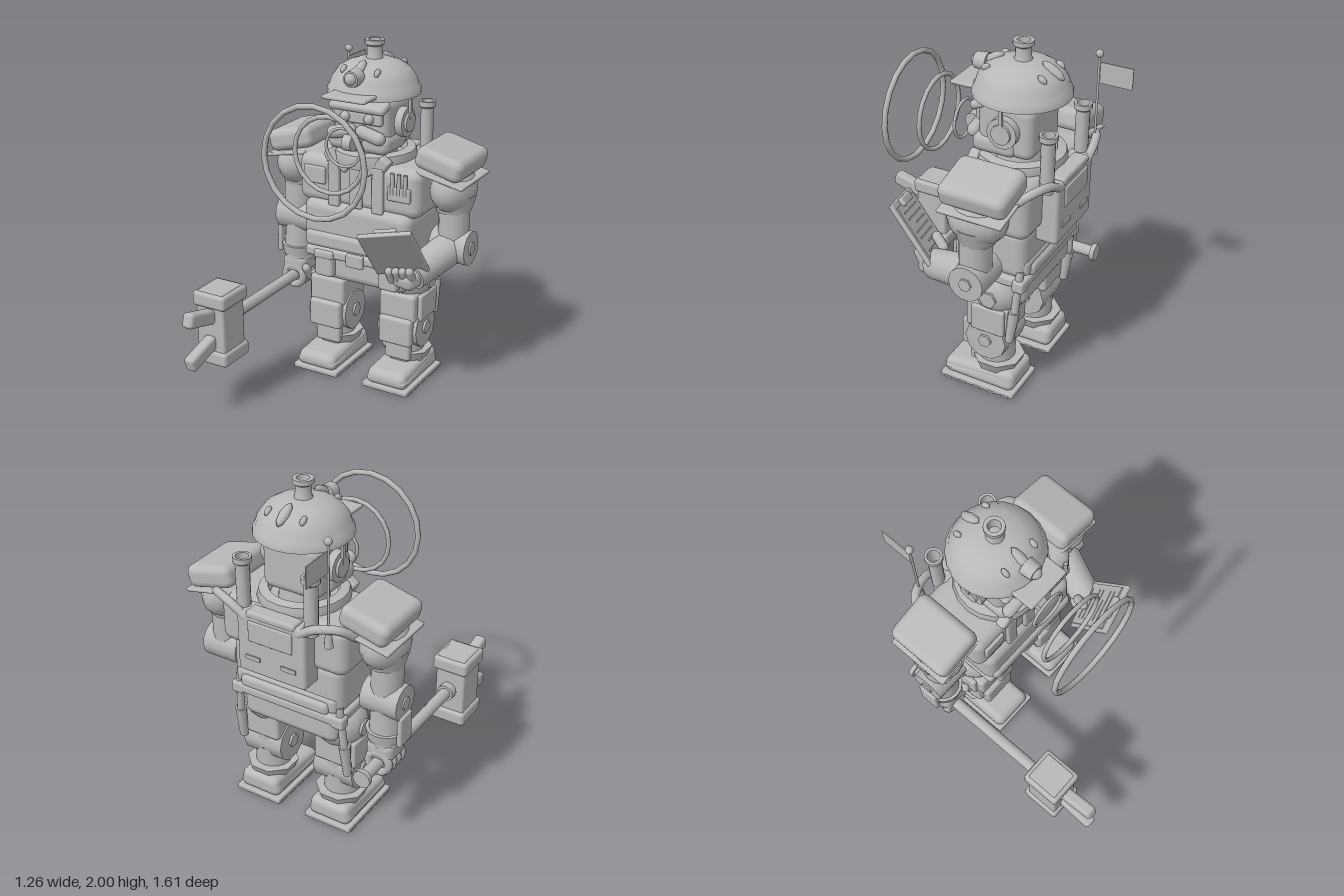
import * as THREE from 'three';
import { RoundedBoxGeometry } from 'three/addons/geometries/RoundedBoxGeometry.js';
import { toCreasedNormals } from 'three/addons/utils/BufferGeometryUtils.js';

const V = (x, y, z) => new THREE.Vector3(x, y, z);

export function createModel() {
  const root = new THREE.Group();
  root.name = 'workerRobot';
  const grey = new THREE.MeshStandardMaterial({ color: 0xb8b8b8 });
  grey.name = 'plain grey';
  grey.side = THREE.DoubleSide;

  const add = (name, geo, pos, rot = [0, 0, 0], parent = root) => {
    const m = new THREE.Mesh(geo, grey);
    m.name = name;
    m.position.set(...pos);
    m.rotation.set(...rot);
    parent.add(m);
    return m;
  };
  const rbox = (w, h, d, r = 0.02) => new RoundedBoxGeometry(w, h, d, 3, r);
  const box = (w, h, d) => new THREE.BoxGeometry(w, h, d);
  const cyl = (rt, rb, h, n = 16) => new THREE.CylinderGeometry(rt, rb, h, n);
  const ball = (r, n = 16) => new THREE.SphereGeometry(r, n, Math.ceil(n * 0.7));
  const lathe = (pts, n = 20) => toCreasedNormals(
    new THREE.LatheGeometry(pts.map(p => new THREE.Vector2(...p)), n), 0.7);
  // Cylinder between two points
  const rod = (name, a, b, ra, rb = ra, n = 12) => {
    const m = add(name, cyl(rb, ra, a.distanceTo(b), n), a.clone().add(b).multiplyScalar(0.5).toArray());
    m.quaternion.setFromUnitVectors(V(0, 1, 0), b.clone().sub(a).normalize());
    return m;
  };
  const tube = (name, pts, r) => add(name,
    new THREE.TubeGeometry(new THREE.CatmullRomCurve3(pts.map(p => V(...p))), 16, r, 10), [0, 0, 0]);
  const HALF = Math.PI / 2;

  // Torso
  add('belly', rbox(0.69, 0.3, 0.43, 0.06), [0, 0.935, -0.315]);
  add('chest', rbox(0.78, 0.29, 0.43, 0.06), [0, 1.2, -0.345]);
  add('bellyBand', rbox(0.64, 0.1, 0.46, 0.03), [0, 0.85, -0.31]);
  add('pelvis', rbox(0.6, 0.2, 0.36, 0.05), [0, 0.68, -0.33]);
  add('belt', rbox(0.68, 0.06, 0.42, 0.02), [0, 0.755, -0.325]);
  add('beltBuckle', rbox(0.11, 0.08, 0.03, 0.01), [0, 0.75, -0.11]);
  add('backBumper', rbox(0.56, 0.08, 0.08, 0.03), [0, 0.83, -0.52]);
  add('collar', lathe([[0.24, -0.04], [0.25, 0], [0.24, 0.04], [0.19, 0.05], [0.18, 0.0]]), [0, 1.35, -0.33]);
  add('neck', cyl(0.12, 0.14, 0.14), [0, 1.4, -0.33]);
  add('chestStrap', rbox(0.08, 0.25, 0.03, 0.01), [0, 1.2, -0.12]);
  add('namePlate', rbox(0.14, 0.1, 0.025, 0.008), [-0.27, 1.23, -0.125]);
  add('penPocket', rbox(0.14, 0.08, 0.025, 0.008), [0.27, 1.2, -0.125]);
  for (let i = 0; i < 3; i++)
    add('pen', cyl(0.012, 0.012, 0.12, 8), [0.23 + i * 0.04, 1.26, -0.12]);
  for (const s of [-1, 1]) {
    add('suspender', rbox(0.07, 0.27, 0.03, 0.01), [s * 0.14, 1.2, -0.12]);
    add('pouch', rbox(0.12, 0.16, 0.08, 0.02), [s * 0.21, 0.69, -0.145]);
    add('pouchFlap', rbox(0.13, 0.05, 0.09, 0.015), [s * 0.21, 0.75, -0.145]);
  }

  // Beard bars below the jaw
  for (let i = -2; i <= 2; i++) {
    const a = i * 0.5;
    add('beardBar', rbox(0.09, 0.07, 0.06, 0.015), [Math.sin(a) * 0.19, 1.4 - Math.cos(a) * 0.09, -0.14], [0, 0, a]);
  }

  // Head
  add('head', rbox(0.35, 0.3, 0.32, 0.05), [0, 1.55, -0.31]);
  add('jaw', rbox(0.38, 0.11, 0.26, 0.045), [0, 1.455, -0.25]);
  add('brow', rbox(0.35, 0.045, 0.1, 0.02), [0, 1.665, -0.155], [0.35, 0, 0]);
  add('visor', rbox(0.3, 0.07, 0.04, 0.015), [0, 1.6, -0.15]);
  for (const s of [-1, 1]) {
    add('eye', ball(0.03, 12), [s * 0.075, 1.6, -0.13]);
    add('moustache', new THREE.CapsuleGeometry(0.037, 0.11, 5, 12), [s * 0.09, 1.515, -0.12], [0, 0, s * (HALF - 0.25)]);
    add('earDisc', cyl(0.085, 0.085, 0.05), [s * 0.195, 1.56, -0.32], [0, 0, HALF]);
    add('earCap', cyl(0.055, 0.055, 0.02), [s * 0.225, 1.56, -0.32], [0, 0, HALF]);
    add('chinStrap', box(0.015, 0.16, 0.02), [s * 0.23, 1.66, -0.32]);
  }

  // Whistle with sound rings
  add('whistleTube', rbox(0.05, 0.035, 0.1, 0.01), [0, 1.5, -0.07]);
  add('whistleBody', cyl(0.045, 0.045, 0.055), [0, 1.48, -0.045], [0, 0, HALF]);
  add('whistleMouthpiece', cyl(0.03, 0.045, 0.06), [0, 1.48, -0.11], [HALF, 0, 0]);
  for (const [r, z, t] of [[0.108, 0.02, 0.009], [0.212, 0.175, 0.013], [0.307, 0.33, 0.016]])
    add('soundRing', new THREE.TorusGeometry(r, t, 8, 20), [0, 1.47, z]);

  // Hard hat
  const hat = new THREE.Group();
  hat.name = 'hardHat';
  hat.position.set(0, 1.71, -0.325);
  root.add(hat);
  add('hatShell', lathe([[0.23, 0.01], [0.265, 0], [0.262, 0.03], [0.25, 0.045], [0.238, 0.085], [0.2, 0.135],
    [0.15, 0.165], [0.09, 0.185], [0, 0.19]], 24), [0, 0, 0], [0, 0, 0], hat);
  add('hatLining', cyl(0.24, 0.24, 0.01, 24), [0, 0.015, 0], [0, 0, 0], hat);
  add('hatBrim', rbox(0.27, 0.022, 0.2, 0.01), [0, 0.027, 0.255], [0, 0, 0], hat);
  add('hatChimney', lathe([[0.06, 0.16], [0.044, 0.2], [0.042, 0.255], [0.056, 0.265], [0.056, 0.29], [0.035, 0.29],
    [0.03, 0.22]], 16), [0, 0, 0], [0, 0, 0], hat);
  add('headLamp', cyl(0.045, 0.052, 0.07), [0, 0.12, 0.235], [HALF, 0, 0], hat);
  add('lampLens', ball(0.036, 12), [0, 0.12, 0.262], [0, 0, 0], hat);
  for (const s of [-1, 1]) {
    add('hatRidge', ball(1, 8), [0, 0.155, s * 0.17], [s * 0.55, 0, 0], hat).scale.set(0.028, 0.025, 0.075);
    for (const x of [-0.105, 0.105])
      add('hatVent', ball(1, 8), [x, 0.145, s * 0.16], [s * 0.6, 0, 0], hat).scale.set(0.016, 0.018, 0.03);
  }

  // Backpack, exhausts, hoses and flag mast
  add('backpack', rbox(0.42, 0.36, 0.13, 0.02), [0, 1.16, -0.585]);
  add('packPanel', rbox(0.27, 0.12, 0.02, 0.008), [0, 1.24, -0.65]);
  add('packLid', rbox(0.3, 0.04, 0.09, 0.015), [0, 1.335, -0.61]);
  for (const s of [-1, 1]) {
    add('packSlot', box(0.09, 0.025, 0.016), [s * 0.11, 1.08, -0.65]);
    add('exhaust', lathe([[0.038, 0], [0.038, 0.29], [0.05, 0.3], [0.05, 0.33], [0.035, 0.33], [0.03, 0.2]], 14),
      [s * 0.207, 1.29, -0.58]);
    tube('hose', [[s * 0.16, 1.3, -0.63], [s * 0.26, 1.36, -0.63], [s * 0.37, 1.37, -0.59], [s * 0.43, 1.3, -0.5]], 0.024);
  }
  rod('flagMast', V(-0.325, 1.3, -0.605), V(-0.325, 1.85, -0.605), 0.007, 0.007, 8);
  add('mastBall', ball(0.022, 12), [-0.325, 1.857, -0.605]);
  add('mastBase', cyl(0.018, 0.025, 0.08, 10), [-0.325, 1.31, -0.605]);
  add('flag', box(0.006, 0.12, 0.185), [-0.325, 1.75, -0.707]);

  // Parts shared by both sides: shoulders, upper arms, legs
  for (const s of [-1, 1]) {
    const x = s * 0.51;
    add('shoulderPad', rbox(0.29, 0.13, 0.385, 0.045), [s * 0.475, 1.39, -0.353], [0, 0, -s * 0.25]);
    add('shoulderRim', rbox(0.3, 0.02, 0.37, 0.008), [s * 0.48, 1.305, -0.353], [0, 0, -s * 0.2]);
    add('shoulderBall', ball(1, 16), [s * 0.5, 1.22, -0.34]).scale.set(0.125, 0.14, 0.17);
    add('shoulderSkirt', cyl(0.13, 0.1, 0.1, 10), [s * 0.5, 1.14, -0.34]);
    add('upperArm', cyl(0.088, 0.088, 0.24), [x, 1.03, -0.335]);
    add('elbow', cyl(0.1, 0.1, 0.22, 14), [x, 0.88, -0.335], [0, 0, HALF]);
    add('elbowBolt', cyl(0.038, 0.038, 0.24, 6), [x, 0.88, -0.335], [0, 0, HALF]);

    const lx = s * 0.235;
    add('hipBall', ball(0.15, 16), [lx, 0.635, -0.34]);
    add('hipBolt', cyl(0.05, 0.05, 0.06, 6), [s * 0.36, 0.635, -0.34], [0, 0, HALF]);
    add('thigh', cyl(0.105, 0.105, 0.3), [lx, 0.46, -0.33]);
    add('thighPlate', rbox(0.23, 0.17, 0.26, 0.02), [lx, 0.485, -0.315]);
    add('thighSidePlate', rbox(0.03, 0.16, 0.2, 0.01), [s * 0.36, 0.485, -0.33]);
    add('knee', cyl(0.125, 0.125, 0.25, 10), [lx, 0.34, -0.315], [0, 0, HALF]);
    add('kneeBolt', cyl(0.04, 0.04, 0.28, 6), [lx, 0.34, -0.315], [0, 0, HALF]);
    add('kneePad', rbox(0.21, 0.17, 0.06, 0.02), [lx, 0.34, -0.185]);
    add('shin', cyl(0.105, 0.105, 0.2), [lx, 0.2, -0.325]);
    add('shinPlate', rbox(0.16, 0.11, 0.05, 0.015), [lx, 0.2, -0.22]);
    add('ankleCuff', cyl(0.15, 0.125, 0.06, 8), [lx, 0.155, -0.335], [0, Math.PI / 8, 0]);

    // Boot with a stepped toe and studded sole
    add('sole', rbox(0.295, 0.03, 0.46, 0.008), [lx, 0.017, -0.27]);
    for (let i = 0; i < 5; i++)
      add('soleLug', box(0.3, 0.012, 0.05), [lx, 0.007, -0.09 - i * 0.09]);
    const boot = rbox(0.265, 0.12, 0.44, 0.04), p = boot.attributes.position;
    for (let i = 0; i < p.count; i++) // lower the toe and narrow the top
      if (p.getY(i) > 0) {
        p.setY(i, p.getY(i) - Math.max(0, p.getZ(i) - 0.07) * 0.22);
        p.setX(i, p.getX(i) * 0.94);
      }
    boot.computeVertexNormals();
    add('boot', boot, [lx, 0.085, -0.268]);

    // Tool hanging behind the hip
    rod('hangingTool', V(s * 0.32, 0.84, -0.5), V(s * 0.34, 0.56, -0.48), 0.022);
    rod('toolHandle', V(s * 0.34, 0.58, -0.48), V(s * 0.345, 0.38, -0.455), 0.032, 0.024);
    add('toolLoop', rbox(0.08, 0.07, 0.07, 0.015), [s * 0.32, 0.75, -0.5]);
  }

  // Right arm hanging down, gripping the hammer
  add('rightForearm', cyl(0.085, 0.095, 0.25), [-0.51, 0.73, -0.335]);
  add('rightCuff', cyl(0.11, 0.1, 0.06), [-0.51, 0.66, -0.335]);
  add('forearmPlate', rbox(0.03, 0.18, 0.12, 0.01), [-0.62, 0.72, -0.335]);
  add('rightPalm', rbox(0.16, 0.12, 0.18, 0.04), [-0.51, 0.57, -0.335]);
  for (let i = 0; i < 4; i++)
    add('rightFinger', new THREE.TorusGeometry(0.062, 0.024, 8, 12), [-0.51, 0.5, -0.265 - i * 0.047]);
  add('rightThumb', new THREE.CapsuleGeometry(0.026, 0.08, 4, 10), [-0.42, 0.53, -0.28], [0.6, 0, 0]);

  rod('hammerShaft', V(-0.51, 0.5, -0.585), V(-0.51, 0.5, 0.4), 0.034);
  rod('hammerPommel', V(-0.51, 0.5, -0.587), V(-0.51, 0.5, -0.56), 0.052);
  rod('hammerCollar', V(-0.51, 0.5, 0.35), V(-0.51, 0.5, 0.4), 0.05);
  add('hammerBody', rbox(0.185, 0.34, 0.2, 0.015), [-0.515, 0.495, 0.497]);
  for (const s of [-1, 1]) {
    add('hammerFace', rbox(0.215, 0.085, 0.235, 0.02), [-0.515, 0.495 + s * 0.172, 0.495]);
    add('hammerFaceInset', rbox(0.17, 0.02, 0.19, 0.008), [-0.515, 0.495 + s * 0.21, 0.495]);
    add('hammerProng', rbox(0.07, 0.085, 0.23, 0.02), [-0.515, 0.495 + s * 0.105, 0.69], [-s * 0.27, 0, 0]);
  }

  // Left arm bent forward, holding the clipboard
  rod('leftForearm', V(0.51, 0.88, -0.335), V(0.41, 0.785, -0.03), 0.1, 0.085, 16);
  add('leftHand', rbox(0.16, 0.1, 0.15, 0.04), [0.39, 0.775, -0.02], [0.2, -0.3, 0.1]);
  for (let i = 0; i < 4; i++)
    add('leftFinger', new THREE.CapsuleGeometry(0.024, 0.07, 4, 10), [0.31 + i * 0.042, 0.79 + i * 0.008, 0.04], [0.5, 0, 0]);
  add('leftThumb', new THREE.CapsuleGeometry(0.028, 0.07, 4, 10), [0.335, 0.88, -0.02], [0.9, 0, 0.3]);

  const board = new THREE.Group();
  board.name = 'clipboard';
  const u = V(0.295, 0.055, -0.07).normalize(), v = V(0, 0.32, 0.25).normalize();
  board.quaternion.setFromRotationMatrix(new THREE.Matrix4().makeBasis(u, v, u.clone().cross(v)));
  board.position.set(0.36, 0.955, 0.1);
  root.add(board);
  add('board', rbox(0.3, 0.385, 0.026, 0.006), [0, 0, 0], [0, 0, 0], board);
  add('paper', box(0.26, 0.34, 0.008), [0, -0.01, -0.016], [0, 0, 0], board);
  add('clip', rbox(0.13, 0.05, 0.03, 0.012), [0, 0.165, -0.025], [0, 0, 0], board);
  for (let i = 0; i < 7; i++)
    add('ruledLine', box(i % 3 === 2 ? 0.13 : 0.19, 0.008, 0.006), [i % 3 === 2 ? -0.03 : 0, 0.11 - i * 0.04, -0.021], [0, 0, 0], board);

  return root;
}
